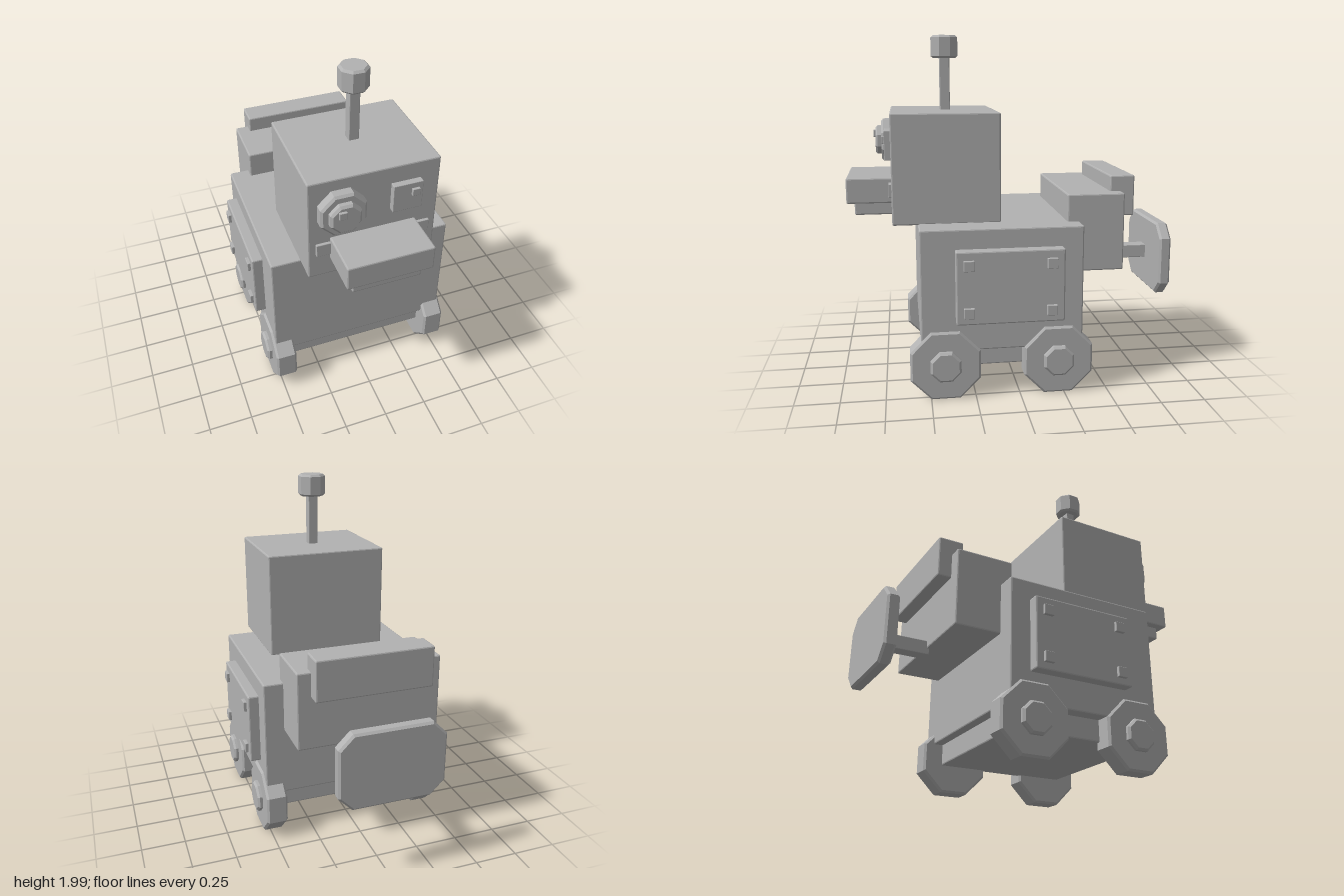
import * as THREE from 'three';
import { RoundedBoxGeometry } from 'three/addons/geometries/RoundedBoxGeometry.js';

const grey = new THREE.MeshStandardMaterial({ color: 0xb2b2b2 });
grey.name = 'plain grey';

export function createModel() {
  const model = new THREE.Group();
  model.name = 'robot';

  function add(name, geometry) {
    const mesh = new THREE.Mesh(geometry, grey);
    mesh.name = name;
    model.add(mesh);
    return mesh;
  }

  // Chamfered box given by its extents on each axis
  function box(name, [x0, x1], [y0, y1], [z0, z1], bevel = 0.008) {
    const g = new RoundedBoxGeometry(x1 - x0, y1 - y0, z1 - z0, 1, bevel);
    g.computeVertexNormals(); // non-indexed, so this gives flat faces
    add(name, g).position.set((x0 + x1) / 2, (y0 + y1) / 2, (z0 + z1) / 2);
  }

  // Chamfered slab along z, centred: a rectangle with cut corners
  function slab(halfW, halfH, cut, depth, bevel) {
    const w = halfW, h = halfH, c = cut;
    const shape = new THREE.Shape([
      [w, c - h], [w, h - c], [w - c, h], [c - w, h],
      [-w, h - c], [-w, c - h], [c - w, -h], [w - c, -h],
    ].map(([x, y]) => new THREE.Vector2(x, y)));
    return new THREE.ExtrudeGeometry(shape, {
      depth: depth - 2 * bevel, bevelEnabled: true, bevelSegments: 1,
      bevelThickness: bevel, bevelSize: bevel, bevelOffset: -bevel,
    }).translate(0, 0, bevel - depth / 2);
  }
  const octagon = (r, depth, bevel = 0.012) => slab(r, r, r * 0.586, depth, bevel);

  // Body and undercarriage
  box('body', [-0.527, 0.527], [0.28, 0.966], [-0.354, 0.55]);
  box('undercarriage', [-0.45, 0.45], [0.16, 0.3], [-0.3, 0.5]);

  // Wheels and side panels, mirrored
  for (const s of [-1, 1]) {
    const span = (a, b) => (s > 0 ? [a, b] : [-b, -a]);
    for (const z of [0.418, -0.216]) {
      add('wheel', octagon(0.195, 0.122).rotateY(Math.PI / 2)).position.set(s * 0.479, 0.2, z);
      add('hubcap', octagon(0.085, 0.06).rotateY(Math.PI / 2)).position.set(s * 0.538, 0.2, z);
    }
    box('sidePanel', span(0.5, 0.588), [0.447, 0.856], [-0.238, 0.36]);
    for (const y of [0.78, 0.516])
      for (const z of [0.29, -0.165])
        box('panelBolt', span(0.57, 0.606), [y - 0.029, y + 0.029], [z - 0.029, z + 0.029], 0.003);
  }

  // Head and antenna
  box('head', [-0.36, 0.36], [0.96, 1.576], [0.085, 0.69]);
  box('antennaStem', [-0.029, 0.029], [1.56, 1.89], [0.341, 0.399], 0.004);
  add('antennaKnob', octagon(0.076, 0.13).rotateX(Math.PI / 2)).position.set(0, 1.935, 0.37);

  // Large lens eye and small square eye
  add('lensRing', octagon(0.124, 0.08)).position.set(-0.184, 1.385, 0.707);
  add('lens', octagon(0.084, 0.06)).position.set(-0.184, 1.385, 0.752);
  box('lensGlint', [-0.228, -0.185], [1.4, 1.442], [0.76, 0.796], 0.003);
  box('squareEye', [0.09, 0.254], [1.31, 1.474], [0.67, 0.725], 0.003);
  box('squareEyeGlint', [0.19, 0.233], [1.4, 1.442], [0.71, 0.74], 0.003);

  // Mouth
  box('jawHinge', [-0.318, 0.318], [1.11, 1.185], [0.66, 0.706], 0.003);
  box('upperJaw', [-0.24, 0.24], [1.067, 1.21], [0.66, 0.942]);
  box('lowerJaw', [-0.193, 0.193], [0.993, 1.08], [0.66, 0.9]);

  // Backpack, its top box and the rear key
  box('backpack', [-0.413, 0.413], [0.675, 1.12], [-0.615, -0.285]);
  box('packBox', [-0.336, 0.336], [0.975, 1.21], [-0.693, -0.55]);
  box('keyStem', [-0.04, 0.04], [0.64, 0.72], [-0.89, -0.6], 0.004);
  add('keyPlate', slab(0.302, 0.217, 0.08, 0.069, 0.012)).position.set(0, 0.68, -0.908);

  // Rest the wheels on the ground and centre the depth
  const bounds = new THREE.Box3().setFromObject(model);
  for (const part of model.children) part.position.y -= bounds.min.y / 2;
  return model;
}
